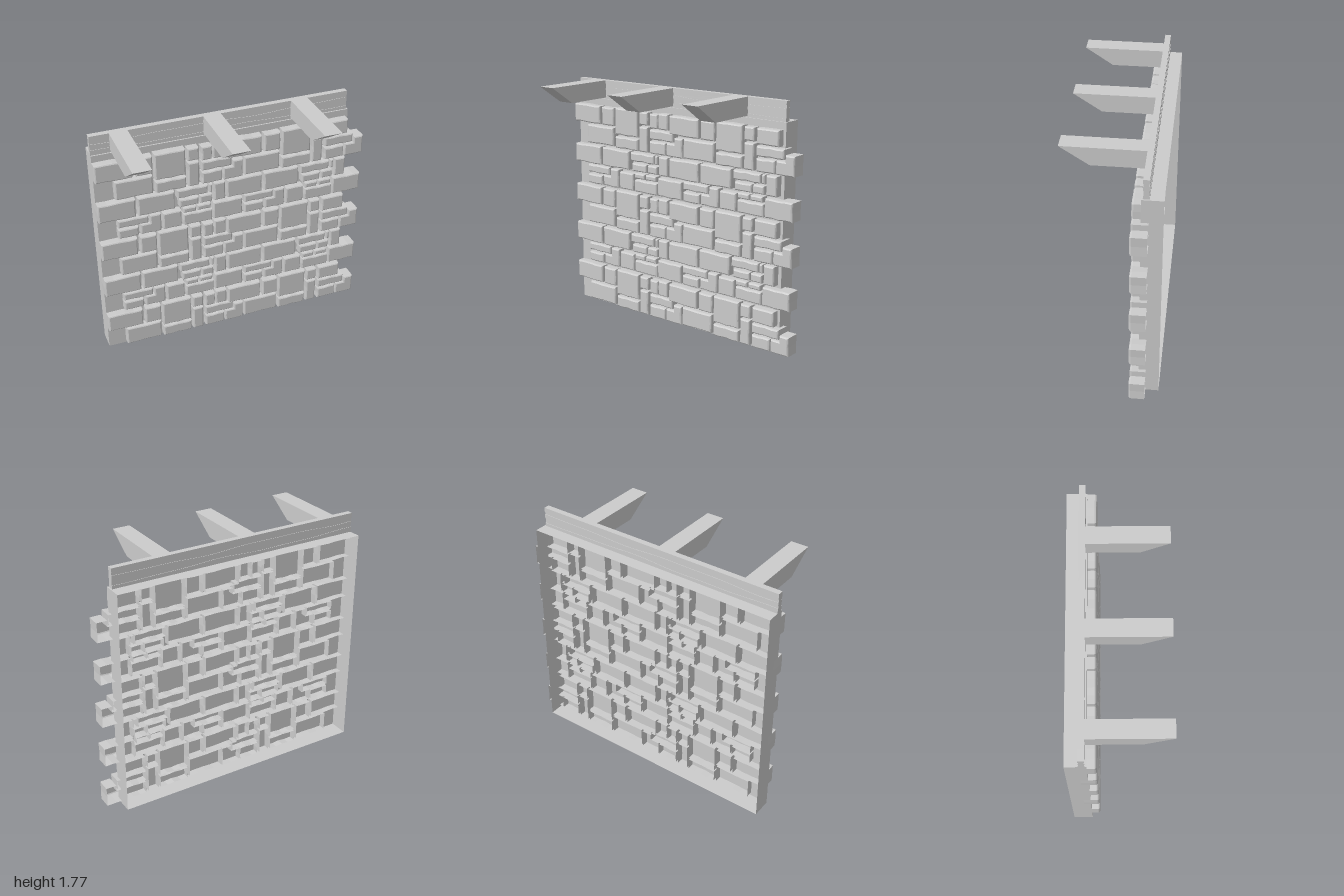
import * as THREE from 'three';

const stoneMaterial = new THREE.MeshStandardMaterial({ color: 0xcccccc, side: THREE.DoubleSide, flatShading: true });

// One course pattern, in hundredths: [x0, x1, y0, y1, notchX, notchY]
// A notch cuts away the upper left corner of an L-shaped stone.
const courseA = [
  [0, 26, 16, 29.5], [28, 40, 16, 29.5], [41.5, 63.5, 10, 30], [65, 73, 20, 29.5], [65, 73, 0, 18.5],
  [75, 97, 10.5, 17.5], [75, 90, 0, 9], [91, 105.5, 0, 14, 98, 9.5],
  [13, 39.5, 0.5, 14.5], [41.5, 63.5, 0, 8.5],
];
const courseAEnds = [
  [[75, 82.5, 18.5, 29], [83.5, 92, 18.5, 30]],
  [[75, 92.5, 18.5, 29.5]],
];
const courseB = [
  [0, 26.5, 16, 30], [28, 54.5, 16, 30], [56.5, 79, 23.5, 30], [58, 72, 16, 22], [73, 82, 16, 22],
  [80, 82.5, 23.5, 30], [83.5, 92, 16, 30],
  [13, 35, 9, 15], [13, 27.5, 0.5, 7.5], [29, 44, 0.5, 14.5, 36, 8.5], [45.5, 59, 0.5, 13.5],
  [60.5, 70, 10.5, 14.5], [71, 81, 10.5, 14.5], [60.5, 82, 0.5, 9.5], [83, 105, 0.5, 14],
];

// Counter-clockwise outline with slightly uneven edges
function stoneOutline([x0, x1, y0, y1, nx, ny]) {
  const corners = nx === undefined
    ? [[x0, y0], [x1, y0], [x1, y1], [x0, y1]]
    : [[x0, y0], [x1, y0], [x1, y1], [nx, y1], [nx, ny], [x0, ny]];
  const points = [];
  corners.forEach(([ax, ay], i) => {
    const [bx, by] = corners[(i + 1) % corners.length];
    const steps = Math.max(1, Math.round(Math.hypot(bx - ax, by - ay) / 6));
    for (let k = 0; k < steps; k++) {
      const t = k / steps;
      const px = ax + (bx - ax) * t, py = ay + (by - ay) * t;
      const wobble = k === 0 ? 0 : 0.3 * Math.sin(px * 1.7 + py * 2.9);
      points.push(new THREE.Vector2(px + (ax === bx ? wobble : 0), py + (ay === by ? wobble : 0)).multiplyScalar(0.01));
    }
  });
  return points;
}

// Moves every point inwards along its mitred normal
function inset(points, amount) {
  return points.map((p, i) => {
    const n = points.length;
    const a = p.clone().sub(points[(i + n - 1) % n]).normalize();
    const b = points[(i + 1) % n].clone().sub(p).normalize();
    const s = amount / (1 + a.dot(b));
    return new THREE.Vector2(p.x - (a.y + b.y) * s, p.y + (a.x + b.x) * s);
  });
}

// Bevelled stone shell, open at the back
function stoneGeometry(spec) {
  const outline = stoneOutline(spec);
  const n = outline.length;
  const rings = [[outline, -0.25], [outline, -0.153], [inset(outline, 0.003), -0.145], [inset(outline, 0.01), -0.14]];
  const positions = [], index = [];
  rings.forEach(([ring, z]) => ring.forEach((p) => positions.push(p.x, p.y, z)));
  for (let r = 0; r < rings.length - 1; r++) {
    for (let i = 0; i < n; i++) {
      const a = r * n + i, b = r * n + (i + 1) % n;
      index.push(a, b, b + n, a, b + n, a + n);
    }
  }
  const top = (rings.length - 1) * n;
  THREE.ShapeUtils.triangulateShape(rings[rings.length - 1][0], []).forEach((f) => index.push(...f.map((v) => v + top)));
  const indexed = new THREE.BufferGeometry();
  indexed.setAttribute('position', new THREE.Float32BufferAttribute(positions, 3));
  indexed.setIndex(index);
  const geometry = indexed.toNonIndexed();
  geometry.computeVertexNormals();
  return geometry;
}

function addMesh(parent, name, geometry, x = 0, y = 0, z = 0) {
  const mesh = new THREE.Mesh(geometry, stoneMaterial);
  mesh.name = name;
  mesh.position.set(x, y, z);
  parent.add(mesh);
  return mesh;
}

export function createModel() {
  const model = new THREE.Group();
  model.name = 'stoneWall';

  // Backing wall, open at the rear
  const wall = new THREE.BoxGeometry(1.88, 1.63, 0.14);
  wall.setIndex(Array.from(wall.index.array).slice(0, 30));
  addMesh(model, 'backingWall', wall, -0.06, 0.815, -0.27);

  // Stone courses, two pattern repeats across
  [0.02, 0.34, 0.655, 0.97, 1.285].forEach((y, row) => {
    const course = new THREE.Group();
    course.name = 'stoneCourse';
    for (let tile = 0; tile < 2; tile++) {
      const specs = row % 2 ? courseB : [...courseA, ...courseAEnds[tile]];
      specs.forEach((spec) => addMesh(course, 'stone', stoneGeometry(spec), -1 + tile * 0.935, y, 0));
    }
    model.add(course);
  });

  // Top beam made of wavy grain bands with slightly stepped faces
  const beam = new THREE.Group();
  beam.name = 'topBeam';
  const bands = 5, steps = 24;
  const grain = (level, t) => {
    const wave = level === 0 || level === bands ? 0 : 0.006 * Math.sin(t * 11 + level * 1.3) + 0.003 * Math.sin(t * 23 + level);
    return new THREE.Vector2(-1 + 1.87 * t, 1.63 + 0.14 * level / bands + wave);
  };
  for (let b = 0; b < bands; b++) {
    const points = [];
    for (let i = 0; i <= steps; i++) points.push(grain(b, i / steps));
    for (let i = steps; i >= 0; i--) points.push(grain(b + 1, i / steps));
    const step = (b % 2) * 0.004;
    const band = new THREE.ExtrudeGeometry(new THREE.Shape(points), { depth: 0.042 - 2 * step, bevelEnabled: false });
    addMesh(beam, 'grainBand', band, 0, 0, -0.252 + step);
  }
  model.add(beam);

  // Rafters with slanted ends, profile drawn in z and y
  const profile = new THREE.Shape([[-0.22, 1.64], [0.15, 1.64], [0.345, 1.77], [-0.22, 1.77]].map(([z, y]) => new THREE.Vector2(-z, y)));
  for (const x of [-0.8, -0.145, 0.5]) {
    const rafter = new THREE.ExtrudeGeometry(profile, { depth: 0.126, bevelEnabled: false });
    rafter.translate(0, 0, -0.063).rotateY(Math.PI / 2);
    addMesh(model, 'rafter', rafter, x);
  }
  return model;
}
